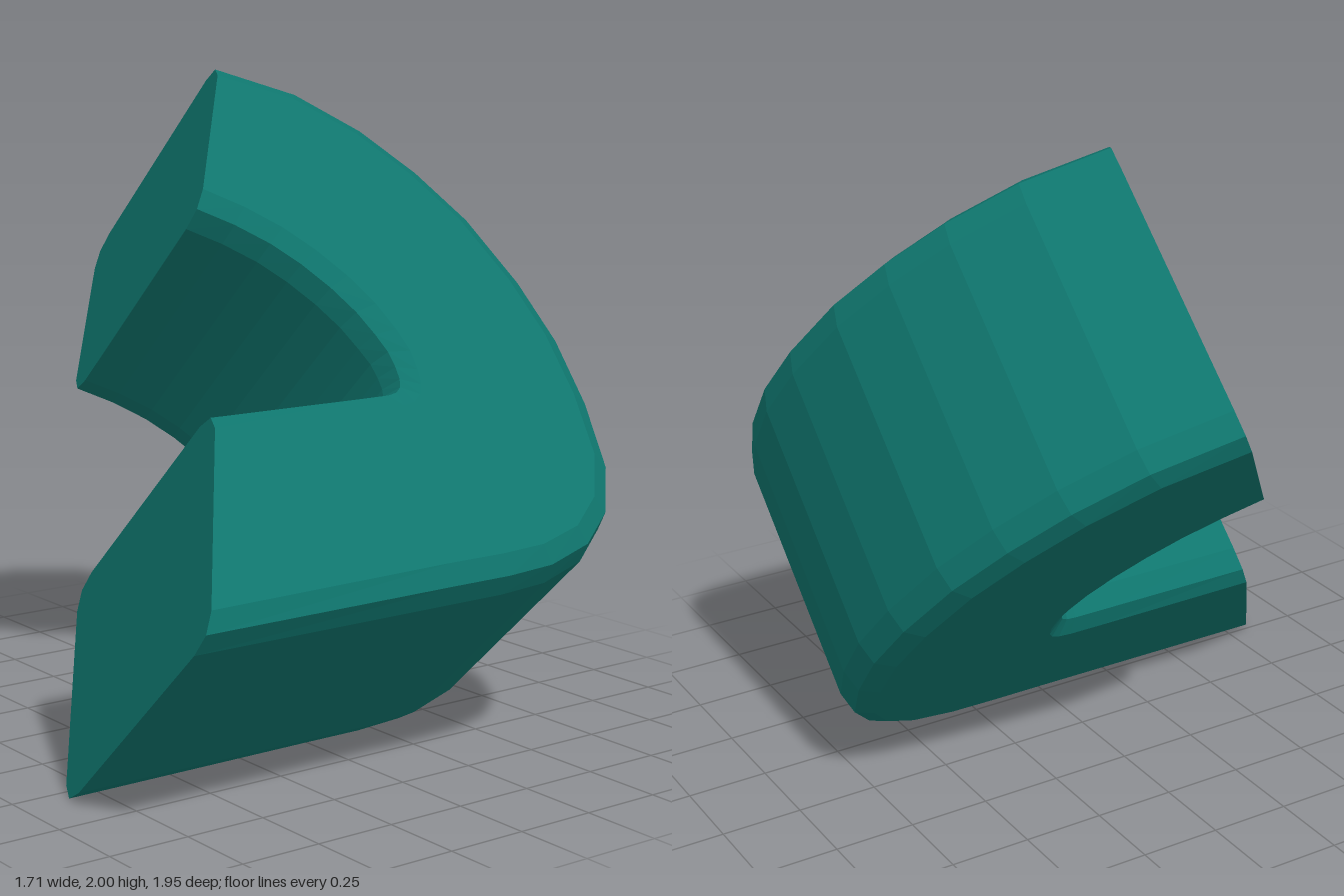
import * as THREE from 'three';

// Stations along the curved bar: outer x, outer y, inner x, inner y
const STATIONS = [
  [-0.855, -0.955, -0.515, -0.285],
  [0.0, -0.955, 0.0, -0.285],
  [0.2, -0.955, 0.1, -0.285],
  [0.37, -0.945, 0.13, -0.28],
  [0.54, -0.9, 0.15, -0.265],
  [0.67, -0.81, 0.16, -0.24],
  [0.77, -0.66, 0.165, -0.2],
  [0.83, -0.43, 0.165, -0.15],
  [0.855, -0.19, 0.15, -0.09],
  [0.835, 0.04, 0.125, -0.01],
  [0.77, 0.3, 0.08, 0.08],
  [0.67, 0.5, 0.02, 0.17],
  [0.54, 0.68, -0.05, 0.25],
  [0.36, 0.84, -0.14, 0.325],
  [0.105, 0.955, -0.24, 0.389],
];

// Rounded corner of the cross-section: inset from the side wall, depth
const CORNER = [[0.078, 0.488], [0.02, 0.458], [0, 0.386]];

// Cross-section ring at one station: down the outer wall, back up the inner wall
function section([ox, oy, ix, iy]) {
  const outer = new THREE.Vector3(ox, oy, 0);
  const inner = new THREE.Vector3(ix, iy, 0);
  const across = inner.clone().sub(outer).normalize();
  const point = (base, inset, z) => base.clone().addScaledVector(across, inset).setZ(z);
  const back = [...CORNER].reverse();
  return [
    ...CORNER.map(([d, z]) => point(outer, d, z)),
    ...back.map(([d, z]) => point(outer, d, -z)),
    ...CORNER.map(([d, z]) => point(inner, -d, -z)),
    ...back.map(([d, z]) => point(inner, -d, z)),
  ];
}

function hookGeometry() {
  const rings = STATIONS.map(section);
  const n = rings[0].length;
  const positions = [];
  const tri = (...corners) => corners.forEach((p) => positions.push(p.x, p.y, p.z));

  // Walls between neighbouring sections
  for (let i = 0; i < rings.length - 1; i++) {
    const a = rings[i], b = rings[i + 1];
    for (let j = 0; j < n; j++) {
      const k = (j + 1) % n;
      tri(a[j], a[k], b[j]);
      tri(a[k], b[k], b[j]);
    }
  }
  // Flat end caps
  const first = rings[0], last = rings[rings.length - 1];
  for (let j = 1; j < n - 1; j++) {
    tri(first[0], first[j + 1], first[j]);
    tri(last[0], last[j], last[j + 1]);
  }

  const geometry = new THREE.BufferGeometry();
  geometry.setAttribute('position', new THREE.Float32BufferAttribute(positions, 3));
  geometry.computeVertexNormals(); // unshared corners keep the facets flat
  return geometry;
}

export function createModel() {
  const teal = new THREE.MeshStandardMaterial({ color: 0x0f766e });
  teal.name = 'teal';

  // Curved bar leaning back
  const bar = new THREE.Mesh(hookGeometry(), teal);
  bar.name = 'curvedBar';
  bar.rotation.x = -0.749;
  bar.position.y = 1.0;

  const model = new THREE.Group();
  model.name = 'hookBlock';
  model.add(bar);
  return model;
}
